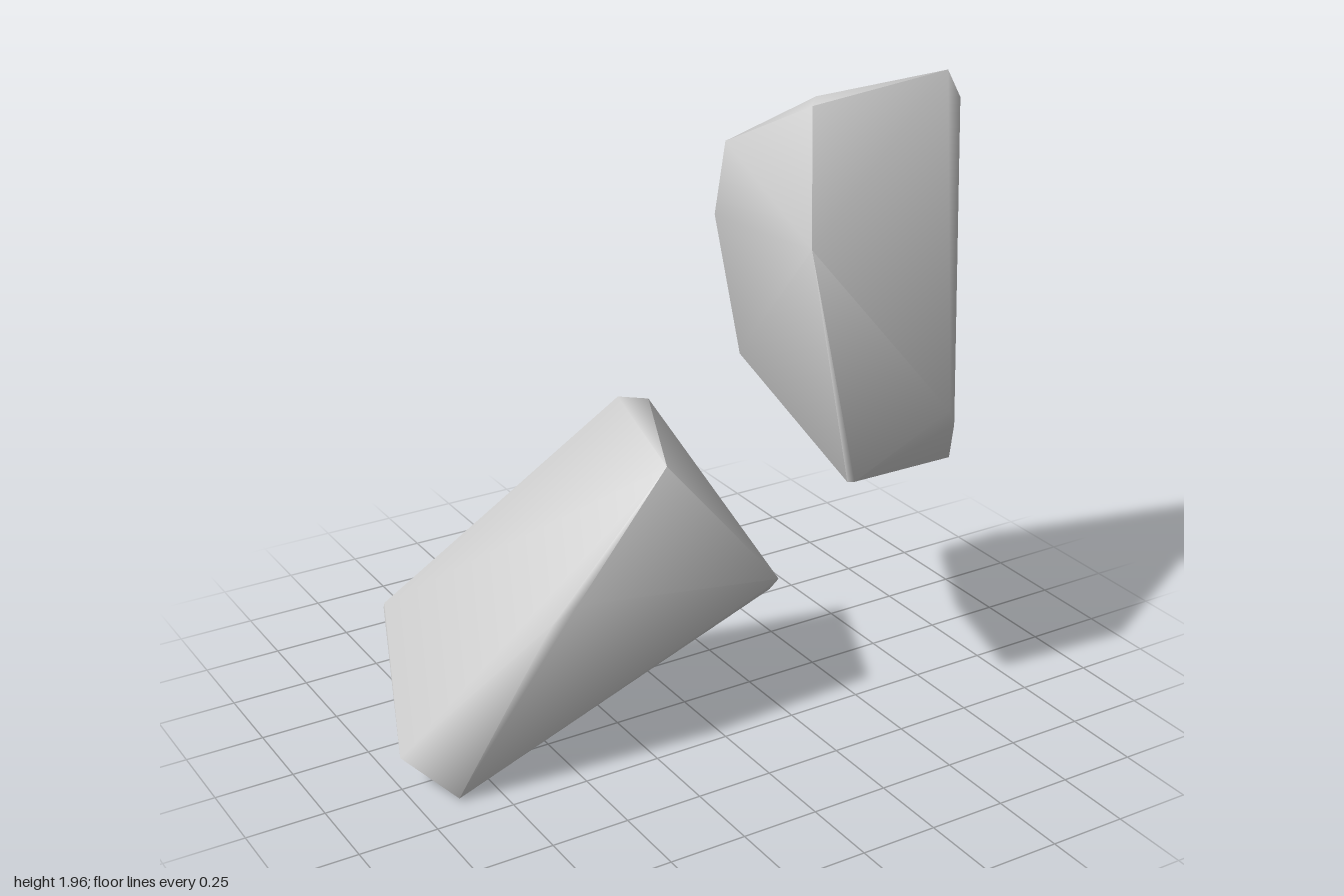
import * as THREE from 'three';
import { ConvexGeometry } from 'three/addons/geometries/ConvexGeometry.js';
import { toCreasedNormals } from 'three/addons/utils/BufferGeometryUtils.js';

// Hull of a few corner points, softened across all but the sharpest edges
function rock(name, corners, material) {
  const hull = new ConvexGeometry(corners.map((c) => new THREE.Vector3(...c)));
  const mesh = new THREE.Mesh(toCreasedNormals(hull, THREE.MathUtils.degToRad(70)), material);
  mesh.name = name;
  return mesh;
}

export function createModel() {
  const group = new THREE.Group();
  group.name = 'rocks';
  const stone = new THREE.MeshStandardMaterial({ color: 0xcccccc });
  stone.name = 'light grey stone';

  group.add(rock('upperRock', [
    // top ridge
    [0.44, 1.955, 0.03], [0.40, 1.94, 0.07], [0.97, 1.955, -0.02], [1.0, 1.87, 0.01],
    // left side
    [0.21, 1.61, 0.36], [0.18, 1.59, -0.12], [0.28, 1.78, -0.22], [0.16, 1.2, 0.06],
    // back
    [0.46, 1.09, -0.32], [0.46, 1.14, -0.33], [0.57, 1.27, -0.32],
    // front and underside
    [0.64, 1.06, 0.49], [0.69, 0.99, 0.45], [0.31, 0.88, 0.43], [0.33, 0.88, 0.44],
    [0.78, 0.81, 0.32], [0.91, 0.98, 0.09],
  ], stone));

  group.add(rock('lowerRock', [
    // peak
    [-0.16, 1.06, -0.13], [-0.04, 1.02, -0.15], [-0.23, 1.0, 0.28],
    // sloping slab
    [-0.82, 0.35, -0.49], [-0.82, 0.37, -0.48], [-1.0, 0.11, 0.0],
    [-0.6, 0.56, 0.24], [-0.53, 0.62, 0.27],
    // right end and back
    [0.23, 0.47, 0.19], [0.21, 0.43, 0.17], [-0.02, 0.34, -0.27],
    // underside
    [-0.88, 0.01, 0.15], [-0.86, 0.0, 0.13], [-0.11, 0.085, -0.13], [-0.07, 0.11, -0.13],
  ], stone));

  return group;
}
